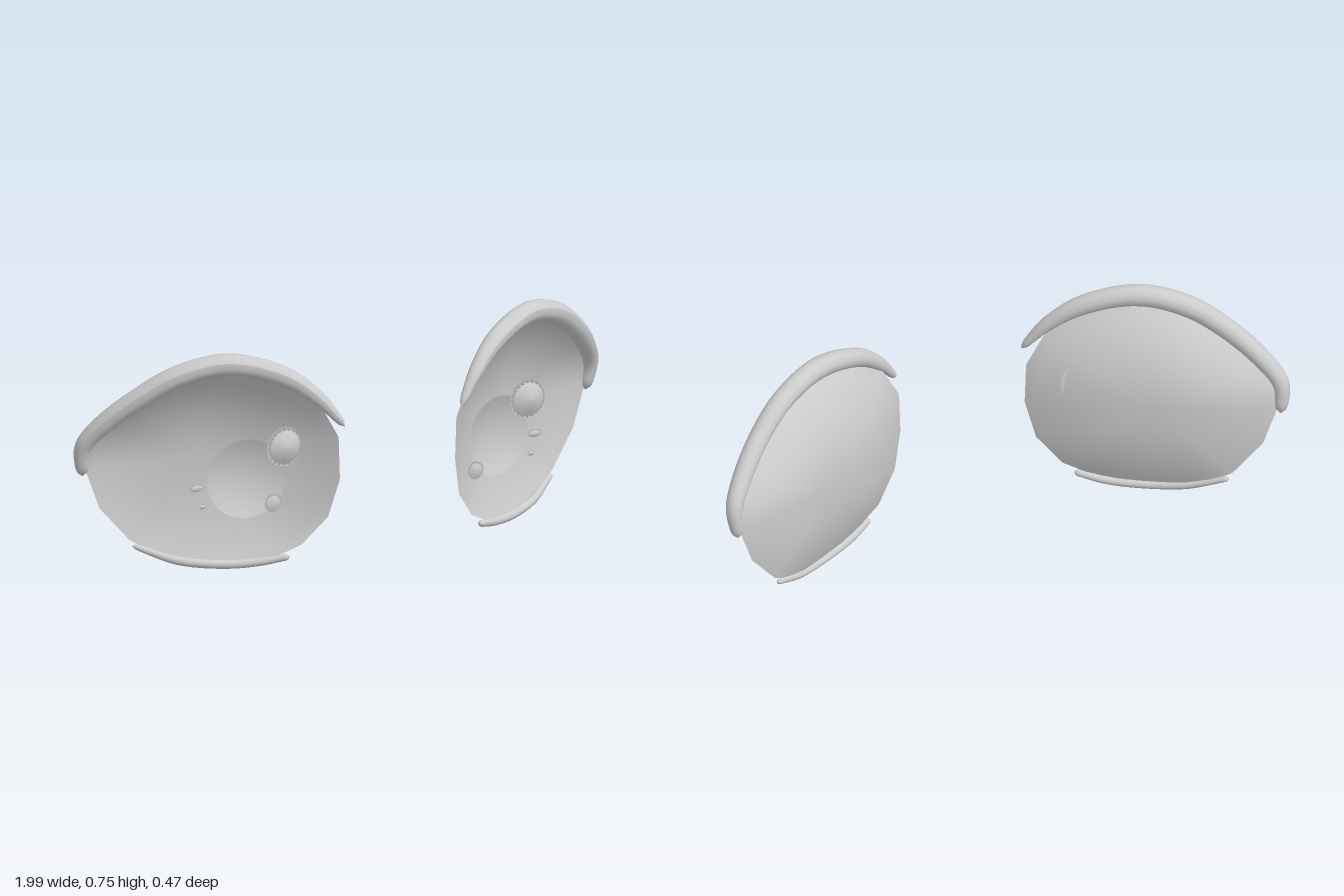
import * as THREE from 'three';

const material = new THREE.MeshStandardMaterial({ color: 0xcccccc, side: THREE.DoubleSide });
const vec = (p) => new THREE.Vector3(...p);

function part(name, geometry) {
  const mesh = new THREE.Mesh(geometry, material);
  mesh.name = name;
  return mesh;
}

// Tube along points whose radius follows the given list, with rounded ends
function taperedTube(points, radii, segments, sides = 12) {
  const curve = new THREE.CatmullRomCurve3(points.map(vec));
  const geometry = new THREE.TubeGeometry(curve, segments, 1, sides);
  const pos = geometry.attributes.position;
  const v = new THREE.Vector3();
  for (let i = 0; i <= segments; i++) {
    const u = i / segments;
    const centre = curve.getPointAt(u);
    const f = curve.getUtoTmapping(u) * (radii.length - 1);
    const k = Math.min(Math.floor(f), radii.length - 2);
    const end = Math.min(1, Math.min(u, 1 - u) / 0.03);
    const round = Math.sqrt(Math.max(0.0005, 1 - (1 - end) ** 2));
    const r = round * THREE.MathUtils.lerp(radii[k], radii[k + 1], f - k);
    for (let j = 0; j <= sides; j++) {
      const n = i * (sides + 1) + j;
      v.fromBufferAttribute(pos, n).sub(centre).multiplyScalar(r).add(centre);
      pos.setXYZ(n, v.x, v.y, v.z);
    }
  }
  geometry.computeVertexNormals();
  return geometry;
}

// Hollow dish: a slanted bowl that bends smoothly to meet an uneven rim
function dish(rim, centre, slope, depth, rings = 12) {
  const positions = [], index = [], n = rim.length;
  for (let i = 0; i <= rings; i++) {
    const s = i / rings;
    for (const [x, y, z] of rim) {
      const dx = x - centre[0], dy = y - centre[1];
      const bend = z - centre[2] - slope * dx;
      positions.push(centre[0] + dx * s, centre[1] + dy * s,
        centre[2] + slope * dx * s + bend * s * s - depth * (1 - s ** 2.4));
    }
  }
  for (let i = 0; i < rings; i++) {
    for (let j = 0; j < n; j++) {
      const a = i * n + j, b = i * n + (j + 1) % n;
      if (i > 0) index.push(a, a + n, b);
      index.push(b, a + n, b + n);
    }
  }
  const geometry = new THREE.BufferGeometry();
  geometry.setAttribute('position', new THREE.Float32BufferAttribute(positions, 3));
  geometry.setIndex(index);
  geometry.computeVertexNormals();
  // The innermost ring is a single point, so it shares one normal
  const normal = new THREE.Vector3(-slope, 0, 1).normalize();
  for (let j = 0; j < n; j++) geometry.attributes.normal.setXYZ(j, normal.x, normal.y, normal.z);
  return geometry;
}

function createEye() {
  const eye = new THREE.Group();

  // Concave eyeball shell, rim listed counter-clockwise from the inner corner
  const rim = [
    [0.225, 0.45, 0.19], [0.22, 0.305, 0.19], [0.25, 0.175, 0.165], [0.325, 0.08, 0.122],
    [0.41, 0.038, 0.085], [0.48, 0.026, 0.04], [0.55, 0.022, 0], [0.68, 0.034, -0.085],
    [0.75, 0.058, -0.13], [0.81, 0.095, -0.167], [0.905, 0.21, -0.2], [0.955, 0.35, -0.21],
    [0.96, 0.43, -0.195], [0.91, 0.505, -0.15], [0.83, 0.588, -0.08], [0.72, 0.662, -0.012],
    [0.57, 0.7, 0.06], [0.4, 0.652, 0.138], [0.285, 0.56, 0.18],
  ];
  eye.add(part('eyeShell', dish(rim, [0.58, 0.36, 0], -0.515, 0.091)));

  // Thick upper lash and thin lower lash
  eye.add(part('upperLash', taperedTube([
    [0.222, 0.495, 0.225], [0.3, 0.592, 0.19], [0.4, 0.67, 0.142], [0.57, 0.718, 0.062],
    [0.72, 0.68, -0.012], [0.83, 0.604, -0.08], [0.92, 0.512, -0.152], [0.968, 0.43, -0.2],
    [0.961, 0.325, -0.217],
  ], [0.011, 0.025, 0.033, 0.037, 0.037, 0.035, 0.033, 0.029, 0.019], 70)));
  eye.add(part('lowerLash', taperedTube([
    [0.362, 0.042, 0.11], [0.45, 0.022, 0.055], [0.55, 0.015, 0], [0.68, 0.028, -0.08],
    [0.8, 0.075, -0.165],
  ], [0.011, 0.014, 0.015, 0.015, 0.009], 60)));

  // Shallow hollow iris floating in front of the shell
  const profile = [];
  for (let i = 0; i <= 6; i++) profile.push(new THREE.Vector2(0.135 * i / 6, 0.03 * (i / 6) ** 2 - 0.03));
  const iris = part('iris', new THREE.LatheGeometry(profile, 32).rotateX(Math.PI / 2));
  iris.position.set(0.482, 0.305, 0.03);
  iris.rotation.y = 0.25;
  eye.add(iris);
  return eye;
}

// Flat-backed, slightly pointed dome facing the front
function createGlint(name, [x, y, z, width, height, depth]) {
  const profile = [new THREE.Vector2(0, 0)];
  for (let i = 5; i >= 0; i--) profile.push(new THREE.Vector2(i / 5, 1 - (i / 5) ** 1.6));
  const glint = part(name, new THREE.LatheGeometry(profile, 20).rotateX(Math.PI / 2));
  glint.scale.set(width, height, depth);
  glint.position.set(x, y, z);
  return glint;
}

// Glints sit on the same side of both eyes: x, y, z, half width, half height, depth
const glints = {
  left: [
    [0.595, 0.413, 0.026, 0.067, 0.067, 0.025], [0.365, 0.216, 0.079, 0.03, 0.031, 0.007],
    [0.62, 0.291, 0.031, 0.028, 0.013, 0.005], [0.605, 0.226, 0.031, 0.014, 0.009, 0.004],
  ],
  right: [
    [-0.372, 0.415, 0.09, 0.067, 0.067, 0.025], [-0.402, 0.22, 0.067, 0.032, 0.032, 0.007],
    [-0.66, 0.295, 0.012, 0.028, 0.013, 0.005], [-0.64, 0.23, 0.016, 0.014, 0.009, 0.004],
  ],
};

export function createModel() {
  const model = new THREE.Group();
  model.name = 'eyes';
  for (const [name, side] of [['left', 1], ['right', -1]]) {
    const eye = createEye();
    eye.name = name + 'Eye';
    eye.scale.x = side;
    model.add(eye);
    glints[name].forEach((g, i) => model.add(createGlint(name + 'Glint' + (i + 1), g)));
  }
  return model;
}
